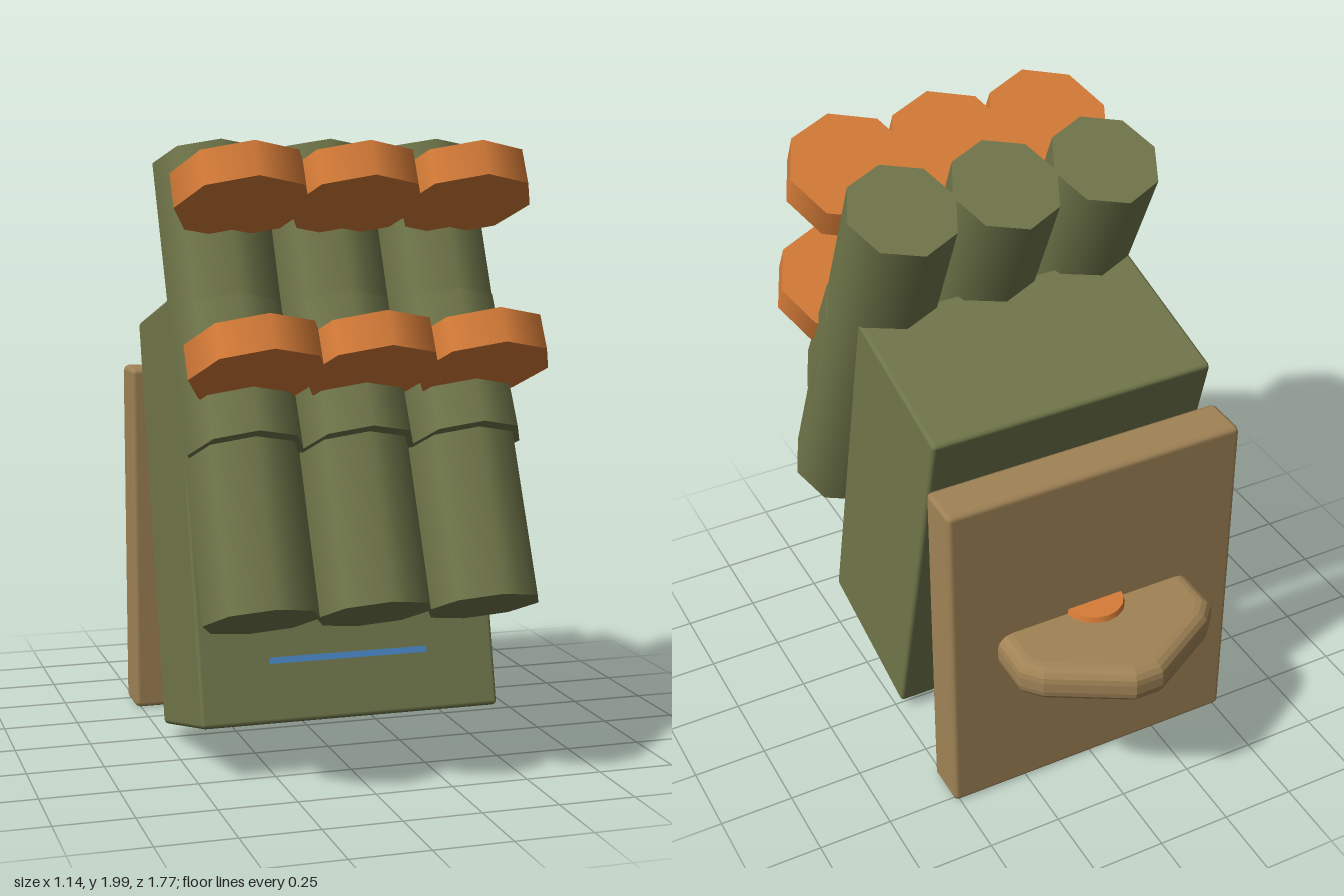
import * as THREE from 'three';
import { RoundedBoxGeometry } from 'three/addons/geometries/RoundedBoxGeometry.js';

const paint = (name, color) => {
  const m = new THREE.MeshStandardMaterial({ color });
  m.name = name;
  return m;
};

export function createModel() {
  const olive = paint('olive', 0x70764a);
  const orange = paint('orange', 0xd67c38);
  const tan = paint('tan', 0xa08356);
  const blue = paint('blue', 0x4a88c8);

  const model = new THREE.Group();
  model.name = 'tubePack';

  const add = (parent, name, geometry, material, x = 0, y = 0, z = 0) => {
    const mesh = new THREE.Mesh(geometry, material);
    mesh.name = name;
    mesh.position.set(x, y, z);
    parent.add(mesh);
    return mesh;
  };

  // A group leaning back by the given number of degrees
  const leaning = (name, y, z, degrees) => {
    const group = new THREE.Group();
    group.name = name;
    group.position.set(0, y, z);
    group.rotation.x = -THREE.MathUtils.degToRad(degrees);
    model.add(group);
    return group;
  };

  // Leaning body with a thin stripe and a small catch on its front
  const body = leaning('body', 0.775, 0.0725, 14.4);
  add(body, 'bodyBlock', new RoundedBoxGeometry(0.985, 1.37, 0.57, 1, 0.014), olive);
  add(body, 'frontStripe', new THREE.BoxGeometry(0.52, 0.02, 0.009), blue, 0, -0.489, 0.286);
  add(body, 'frontCatch', new RoundedBoxGeometry(0.22, 0.06, 0.1, 2, 0.02), orange, 0, -0.33, 0.285);

  // Rows of three eight-sided cylinders: tubes, sleeves and clamps
  const rows = [
    { name: 'tube', radius: 0.183, length: 1.49, y: 1.24, z: 0.4125, lean: 24.9, material: olive },
    { name: 'sleeve', radius: 0.183, length: 0.45, y: 1.245, z: 0.44, lean: 30, material: olive },
    { name: 'upperClamp', radius: 0.213, length: 0.114, y: 1.84, z: 0.506, lean: 27.5, material: orange },
    { name: 'lowerClamp', radius: 0.213, length: 0.112, y: 1.345, z: 0.671, lean: 29.5, material: orange },
  ];
  for (const { name, radius, length, y, z, lean, material } of rows) {
    const row = leaning(name + 'Row', y, z, lean);
    const geometry = new THREE.CylinderGeometry(radius, radius, length, 8);
    for (const side of [-1, 0, 1]) add(row, name, geometry, material, side * 0.355);
  }

  // Upright back panel
  add(model, 'backPanel', new RoundedBoxGeometry(1.04, 1.205, 0.16, 1, 0.018), tan, 0, 0.606, -0.443);

  // Pointed, rounded plate passing through the panel
  const outline = new THREE.Shape([
    [0.305, 0.1], [0.305, 0.655], [0.27, 0.695], [0.035, 0.83],
    [-0.035, 0.83], [-0.27, 0.695], [-0.305, 0.655], [-0.305, 0.1],
  ].map(([x, y]) => new THREE.Vector2(x, y)));
  const plate = new THREE.ExtrudeGeometry(outline, {
    depth: 0.035, bevelThickness: 0.048, bevelSize: 0.05, bevelSegments: 4,
  });
  plate.rotateX(-Math.PI / 2);
  add(model, 'backHandle', plate, tan, 0, 0.588, 0);

  // Round button on the plate
  add(model, 'handleButton', new THREE.CylinderGeometry(0.1, 0.11, 0.04, 16), orange, 0, 0.67, -0.51);

  return model;
}
